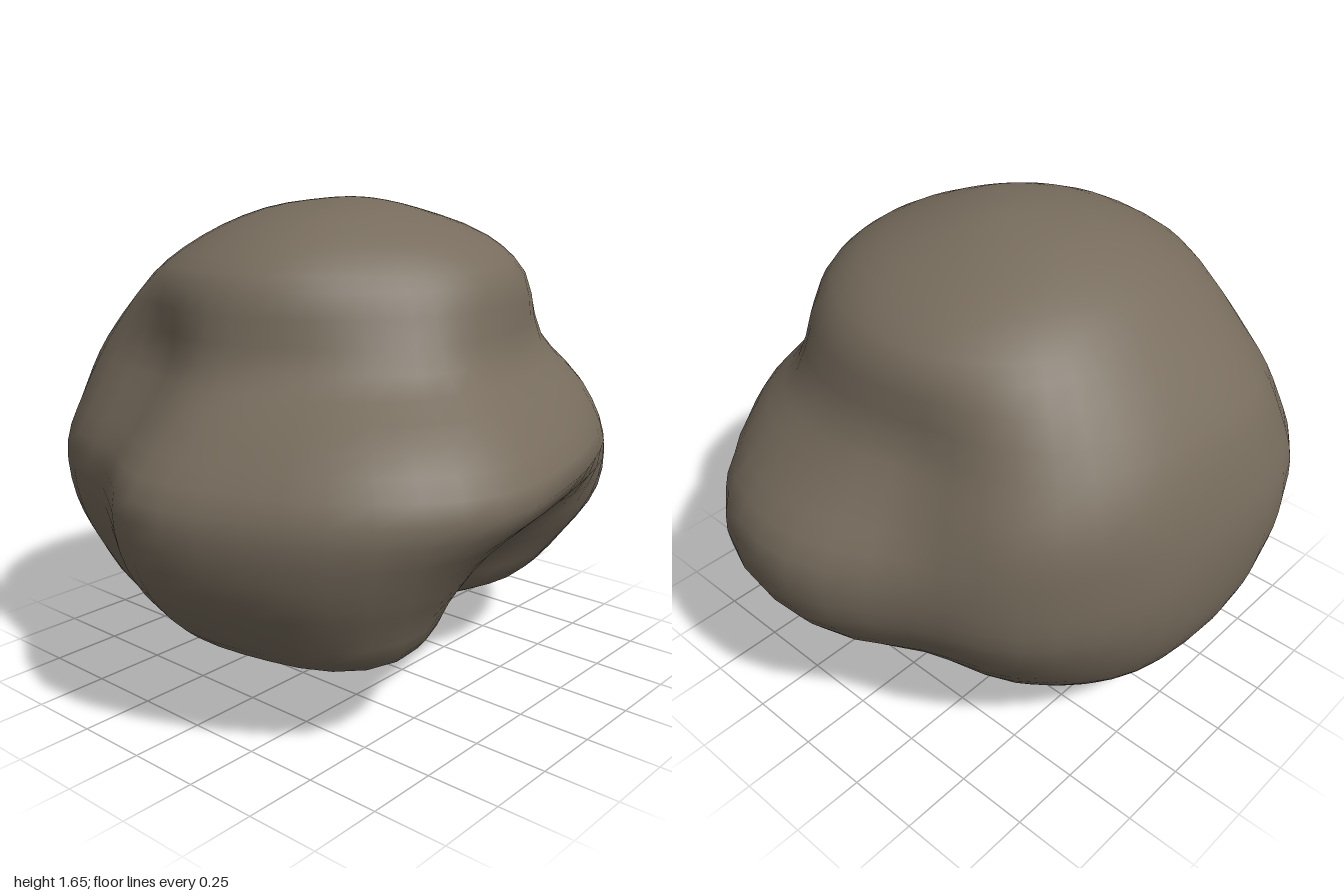
import * as THREE from 'three';
import { mergeVertices } from 'three/addons/utils/BufferGeometryUtils.js';

// Plan outline at the widest belt: radii at even angles, from the front (+z) towards +x
const BELT = [0.89, 0.86, 0.91, 0.995, 0.985, 0.88, 0.93, 0.93, 0.92, 0.98, 0.98, 0.88, 0.98, 0.97, 1.0, 0.99];

// Cross-sections from bottom to top, centred at z: either plain radii r,
// or the belt outline shrunk by the factors in belt.
const SECTIONS = [
  { y: 0.0, z: -0.32, r: [0] },
  { y: 0.03, z: -0.32, r: [0.27, 0.13, 0.2, 0.14] },
  { y: 0.09, z: -0.3, r: [0.37, 0.24, 0.33, 0.25] },
  { y: 0.2, z: -0.25, r: [0.46, 0.47, 0.5, 0.49] },
  // undercut front between two lobes
  { y: 0.3, belt: [0.4, 0.68, 0.7, 0.8, 0.9, 0.8, 0.745, 0.78] },
  { y: 0.45, belt: [0.56, 0.86, 0.89, 0.91, 0.97, 0.9, 0.9, 0.88] },
  { y: 0.62, belt: [0.76, 0.99, 1, 0.99, 1, 0.98, 0.99, 0.96] },
  { y: 0.82, belt: [1] },
  // blunt crown
  { y: 1.0, belt: [0.88, 0.91, 0.84, 0.97, 0.96, 0.93, 0.84, 0.88] },
  { y: 1.17, belt: [0.7, 0.74, 0.71, 0.87, 0.88, 0.84, 0.7, 0.64] },
  { y: 1.4, r: [0.57, 0.6, 0.63, 0.66, 0.62, 0.66, 0.63, 0.54] },
  { y: 1.52, r: [0.45, 0.47, 0.48, 0.5, 0.48, 0.5, 0.5, 0.43] },
  { y: 1.61, r: [0.24, 0.24, 0.28, 0.29] },
  { y: 1.643, r: [0.09] },
  { y: 1.65, r: [0] },
];
const COLUMNS = 48;
const STEPS = 3; // rows per section

// Smooth periodic interpolation of a list, t in 0..1
function around(list, t) {
  const n = list.length;
  const i = Math.floor(t * n);
  const f = t * n - i;
  const [a, b, c, d] = [-1, 0, 1, 2].map((k) => list[(i + k + n) % n]);
  return b + 0.5 * f * (c - a + f * (2 * a - 5 * b + 4 * c - d + f * (3 * (b - c) + d - a)));
}

// Skin the cross-sections with a smooth closed surface
function boulderGeometry() {
  const rows = (SECTIONS.length - 1) * STEPS;
  const positions = [];
  const index = [];
  for (let j = 0; j < COLUMNS; j++) {
    const t = j / COLUMNS;
    const angle = t * Math.PI * 2;
    const meridian = new THREE.CatmullRomCurve3(SECTIONS.map(({ y, z = 0, r, belt }) => {
      const radius = belt ? around(belt, t) * around(BELT, t) : around(r, t);
      return new THREE.Vector3(Math.sin(angle) * radius, y, z + Math.cos(angle) * radius);
    }));
    for (let i = 0; i <= rows; i++) positions.push(...meridian.getPoint(i / rows).toArray());
  }
  for (let j = 0; j < COLUMNS; j++) {
    for (let i = 0; i < rows; i++) {
      const a = j * (rows + 1) + i;
      const b = ((j + 1) % COLUMNS) * (rows + 1) + i;
      if (i > 0) index.push(a, b, b + 1);
      if (i < rows - 1) index.push(a, b + 1, a + 1);
    }
  }
  let geometry = new THREE.BufferGeometry();
  geometry.setAttribute('position', new THREE.Float32BufferAttribute(positions, 3));
  geometry.setIndex(index);
  geometry = mergeVertices(geometry, 1e-5); // join the poles
  geometry.computeVertexNormals();
  return geometry;
}

export function createModel() {
  const stone = new THREE.MeshStandardMaterial({ color: 0x776c5d });
  stone.name = 'stone';
  const boulder = new THREE.Mesh(boulderGeometry(), stone);
  boulder.name = 'boulder';
  const model = new THREE.Group();
  model.name = 'rock';
  model.add(boulder);
  return model;
}
